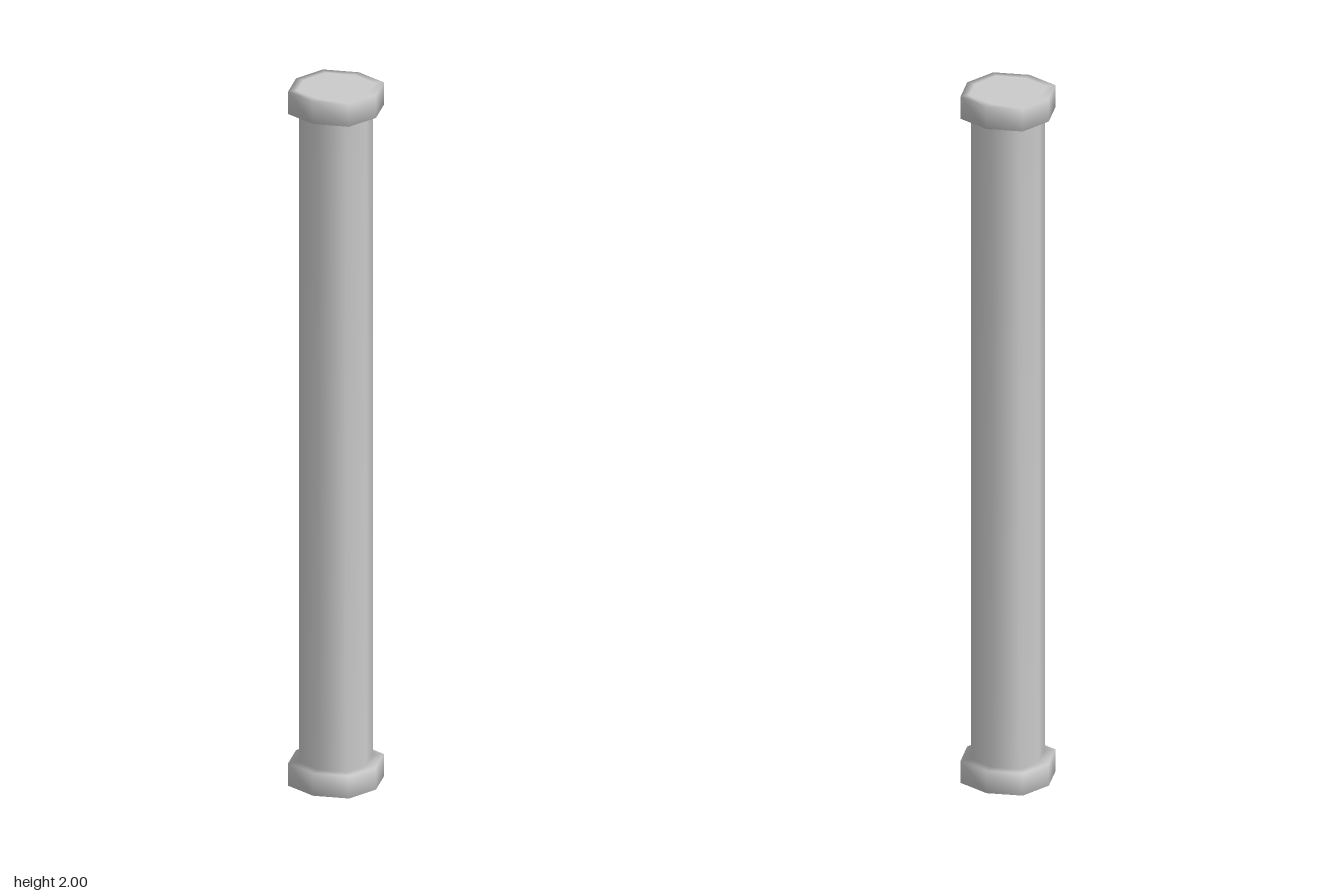
import * as THREE from 'three';

const material = new THREE.MeshStandardMaterial({ color: 0xcccccc });

// Profile from bottom to top: [radius on the axes, height, x and z of the diagonal corners]
const bottomHalf = [
  [0, 0, 0],
  [0.1, 0, 0.077],
  [0.124, 0, 0.094],
  [0.124, 0.065, 0.094],
  [0.094, 0.065, 0.073],
];
const profile = [...bottomHalf, ...bottomHalf.map(([r, y, d]) => [r, 2 - y, d]).reverse()];

export function createModel() {
  const group = new THREE.Group();
  group.name = 'column';

  // One smooth eight-sided surface: base, shaft and top in a single skin
  const sides = 8;
  const geometry = new THREE.LatheGeometry(profile.map(([r, y]) => new THREE.Vector2(r, y)), sides);

  // Push the diagonal corners out to the slightly squared octagon
  const pos = geometry.attributes.position;
  for (let i = 1; i < sides; i += 2) {
    const angle = (i / sides) * Math.PI * 2;
    profile.forEach(([, , d], j) => {
      const k = i * profile.length + j;
      pos.setX(k, Math.sign(Math.sin(angle)) * d);
      pos.setZ(k, Math.sign(Math.cos(angle)) * d);
    });
  }

  const pillar = new THREE.Mesh(geometry, material);
  pillar.name = 'pillarWithEndCaps';
  group.add(pillar);
  return group;
}
